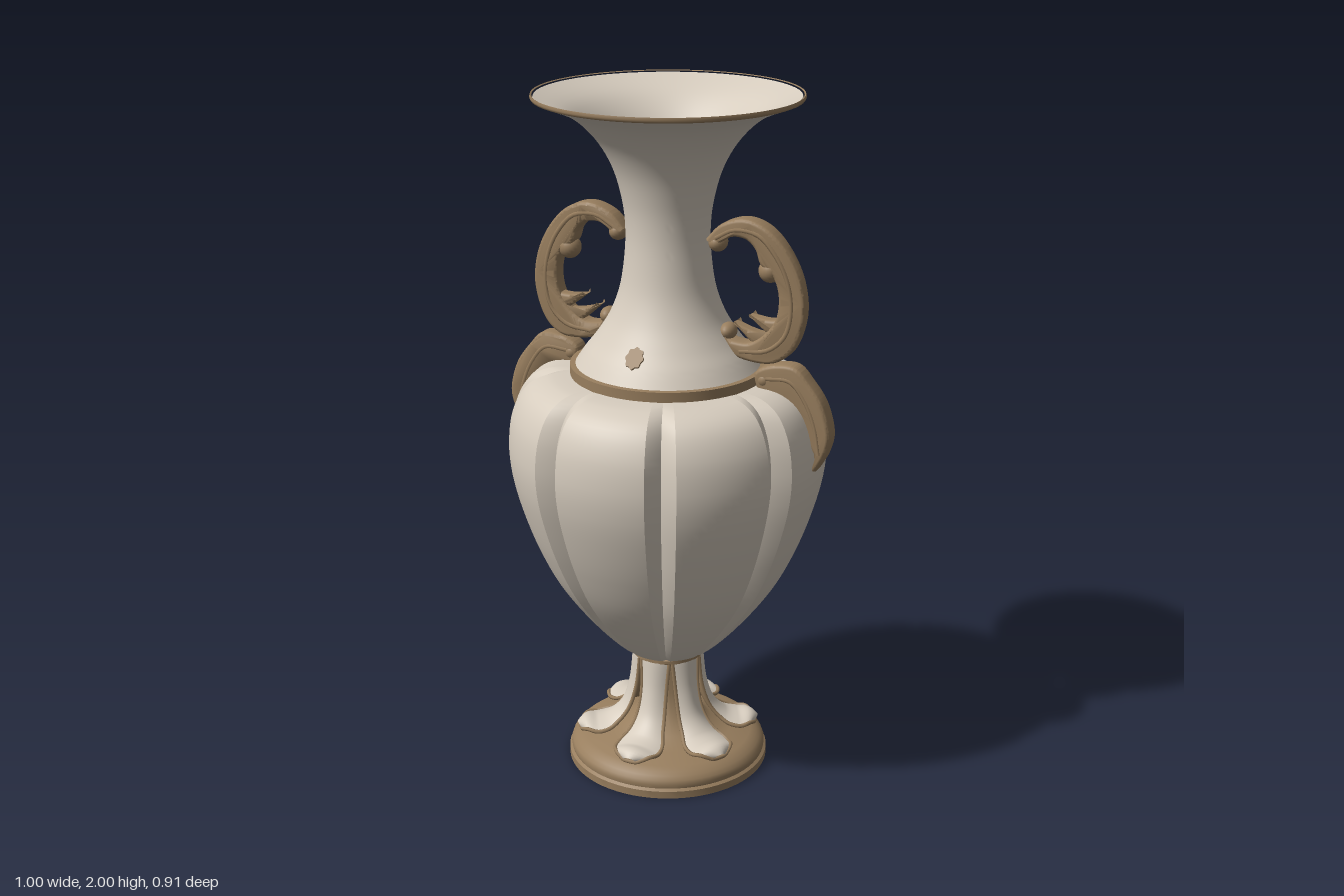
import * as THREE from 'three';
import { toCreasedNormals } from 'three/addons/utils/BufferGeometryUtils.js';
import { ParametricGeometry } from 'three/addons/geometries/ParametricGeometry.js';

const V2 = (p) => new THREE.Vector2(p[0], p[1]);
const spline = (pts) => new THREE.SplineCurve(pts.map(V2));

export function createModel() {
  const model = new THREE.Group();
  const ivory = new THREE.MeshStandardMaterial({ color: 0xd6ccbe, side: THREE.DoubleSide });
  ivory.name = 'ivory';
  const bronze = new THREE.MeshStandardMaterial({ color: 0x987e5e });
  bronze.name = 'bronze';

  const add = (parent, name, geo, mat) => {
    const mesh = new THREE.Mesh(geo, mat);
    mesh.name = name;
    parent.add(mesh);
    return mesh;
  };
  const lathe = (name, pts, mat, crease = 0.6) =>
    add(model, name, toCreasedNormals(new THREE.LatheGeometry(pts.map(V2), 72), crease), mat);

  // Hollow round base rising into the core of the stem
  lathe('base', [
    [0.001, 0.2], [0.04, 0.18], [0.1, 0.125], [0.2, 0.06], [0.255, 0.03], [0.275, 0], [0.298, 0], [0.298, 0.022],
    [0.29, 0.028], [0.292, 0.04], [0.288, 0.052], [0.278, 0.062], [0.268, 0.07], [0.25, 0.079],
    [0.19, 0.09], [0.13, 0.11], [0.09, 0.15], [0.068, 0.22], [0.066, 0.335],
  ], bronze, 0.8);

  // Six flaring petals around the stem: ivory face, bronze back and edge
  const petalPath = spline([[0.262, 0.09], [0.245, 0.104], [0.21, 0.102], [0.165, 0.118],
    [0.122, 0.165], [0.098, 0.24], [0.088, 0.335]]);
  const petalWidth = spline([[0, 0.022], [0.05, 0.05], [0.13, 0.067], [0.22, 0.067], [0.36, 0.051],
    [0.55, 0.042], [0.75, 0.04], [1, 0.045]]);
  const petalPoint = (s, v, target, height) => {
    const p = petalPath.getPoint(v), t = petalPath.getTangent(v);
    const bulge = height * (1 - s * s);
    return target.set(s * petalWidth.getPoint(v).y, p.y - t.x * bulge, p.x + t.y * bulge);
  };
  const petalGeo = new ParametricGeometry((u, v, target) => petalPoint(u * 2 - 1, v, target, 0.018), 10, 32);
  const petalBackGeo = new ParametricGeometry((u, v, target) => petalPoint(1 - u * 2, v, target, -0.014), 10, 32);
  const edgePts = [];
  for (let i = 24; i >= 0; i--) edgePts.push(petalPoint(-1, i / 24, new THREE.Vector3(), 0));
  for (let i = 0; i <= 24; i++) edgePts.push(petalPoint(1, i / 24, new THREE.Vector3(), 0));
  const edgeGeo = new THREE.TubeGeometry(new THREE.CatmullRomCurve3(edgePts), 90, 0.006, 6);
  for (let i = 0; i < 6; i++) {
    const petal = new THREE.Group();
    petal.name = 'stemPetal';
    petal.rotation.y = (i * Math.PI) / 3;
    add(petal, 'petalFace', petalGeo, ivory);
    add(petal, 'petalBack', petalBackGeo, bronze);
    add(petal, 'petalEdge', edgeGeo, bronze);
    model.add(petal);
  }

  lathe('stemCollar', [[0, 0.33], [0.096, 0.33], [0.104, 0.335], [0.104, 0.346], [0.096, 0.352], [0, 0.352]], bronze);

  // Body: eight smooth lobes separated by V grooves
  const bodyProfile = spline([[0.09, 0.348], [0.125, 0.357], [0.185, 0.41], [0.262, 0.5], [0.331, 0.6], [0.384, 0.71],
    [0.423, 0.82], [0.448, 0.92], [0.455, 1.01], [0.442, 1.1], [0.405, 1.17], [0.345, 1.205], [0.26, 1.213]]);
  const strip = (a0, a1, k0, k1, n) => new ParametricGeometry((u, v, target) => {
    const p = bodyProfile.getPoint(v), a = a0 + (a1 - a0) * u, r = p.x * (k0 + (k1 - k0) * u);
    target.set(r * Math.sin(a), p.y, r * Math.cos(a));
  }, n, 48);
  const half = Math.PI / 8, edge = 0.298, deep = 0.915;
  const lobeGeo = strip(-edge, edge, 1, 1, 12);
  const grooveIn = strip(edge, half, 1, deep, 1);
  const grooveOut = strip(-half, -edge, deep, 1, 1);
  for (let i = 0; i < 8; i++) {
    const lobe = new THREE.Group();
    lobe.name = 'bodyLobe';
    lobe.rotation.y = (i * Math.PI) / 4;
    add(lobe, 'lobeFace', lobeGeo, ivory);
    add(lobe, 'grooveSide', grooveIn, ivory);
    add(lobe, 'grooveSide', grooveOut, ivory);
    model.add(lobe);
  }
  const floor = add(model, 'innerFloor', new THREE.CircleGeometry(0.15, 48), ivory);
  floor.rotation.x = -Math.PI / 2;
  floor.position.y = 0.41;

  // Shoulder ring, trumpet neck and rim
  lathe('shoulderRing', [[0.24, 1.207], [0.277, 1.207], [0.277, 1.24], [0.24, 1.242]], bronze);
  const outer = spline([[0.262, 1.24], [0.235, 1.28], [0.2, 1.325], [0.163, 1.385], [0.135, 1.46], [0.121, 1.55],
    [0.118, 1.63], [0.127, 1.71], [0.153, 1.8], [0.2, 1.88], [0.27, 1.945], [0.366, 1.986]]).getPoints(56);
  const inner = outer.map((p) => [p.x - 0.003, p.y + 0.009 * Math.max(0, (p.y - 1.7) / 0.286)]).reverse();
  lathe('neck', [...outer.map((p) => [p.x, p.y]), ...inner], ivory);
  lathe('rim', [[0.362, 1.984], [0.37, 1.987], [0.373, 1.993], [0.371, 2], [0.367, 1.998]], bronze, 0.9);

  // Scalloped rosettes on the front and back of the neck
  const rosetteShape = new THREE.Shape();
  for (let i = 0; i < 64; i++) {
    const a = (i / 64) * Math.PI * 2, r = 0.025 + 0.002 * Math.cos(8 * a);
    rosetteShape[i ? 'lineTo' : 'moveTo'](r * Math.cos(a), 1.25 * r * Math.sin(a));
  }
  const rosetteGeo = new THREE.ExtrudeGeometry(rosetteShape, { depth: 0.006, bevelEnabled: false });
  for (const turn of [0, Math.PI]) {
    const side = new THREE.Group();
    side.name = 'rosette';
    side.rotation.y = turn;
    const flower = add(side, 'rosetteFace', rosetteGeo, bronze);
    flower.position.set(0, 1.308, 0.2115);
    flower.rotation.x = -0.7;
    model.add(side);
  }

  // Carved plate between an outer and an inner curve, thinned by a rule of x
  const plate = (outside, inside, depth, thin = () => 1) => {
    const shape = new THREE.Shape();
    shape.moveTo(...outside[0]);
    shape.splineThru(outside.slice(1).map(V2));
    shape.lineTo(...inside[0]);
    shape.splineThru(inside.slice(1).map(V2));
    const geo = new THREE.ExtrudeGeometry(shape, {
      depth: depth - 0.024, curveSegments: 36, bevelThickness: 0.012, bevelSize: 0.01, bevelOffset: -0.01, bevelSegments: 3,
    });
    geo.translate(0, 0, 0.012 - depth / 2);
    const pos = geo.attributes.position;
    for (let i = 0; i < pos.count; i++) pos.setZ(i, pos.getZ(i) * thin(pos.getX(i)));
    return toCreasedNormals(geo, 0.9);
  };
  const scrollThin = (x) => 1 - 0.3 * THREE.MathUtils.smoothstep(x, 0.3, 0.41);
  const scrollGeo = plate(
    [[0.175, 1.35], [0.19, 1.305], [0.25, 1.283], [0.33, 1.285], [0.385, 1.33], [0.414, 1.42],
      [0.406, 1.51], [0.37, 1.59], [0.31, 1.655], [0.24, 1.68], [0.17, 1.66], [0.125, 1.615]],
    [[0.155, 1.595], [0.195, 1.625], [0.24, 1.625], [0.27, 1.6], [0.286, 1.56], [0.325, 1.525], [0.34, 1.47],
      [0.332, 1.41], [0.3, 1.365], [0.255, 1.335], [0.205, 1.335]], 0.06, scrollThin);
  const leafGeo = plate(
    [[0.285, 1.2], [0.275, 1.25], [0.32, 1.278], [0.39, 1.282], [0.435, 1.24], [0.477, 1.18], [0.499, 1.1], [0.488, 1.04], [0.46, 0.988]],
    [[0.455, 1.04], [0.432, 1.08], [0.41, 1.12], [0.395, 1.155], [0.355, 1.19]], 0.06);
  const fronds = [
    plate([[0.33, 1.31], [0.27, 1.33], [0.205, 1.385]], [[0.25, 1.372], [0.3, 1.365], [0.345, 1.39]], 0.044),
    plate([[0.375, 1.34], [0.31, 1.365], [0.25, 1.41]], [[0.3, 1.405], [0.34, 1.41], [0.375, 1.44]], 0.044),
  ];
  const vein = (pts, z, thin = () => 1) => new THREE.TubeGeometry(
    new THREE.CatmullRomCurve3(pts.map(([x, y]) => new THREE.Vector3(x, y, z * thin(x)))), 36, 0.007, 6);
  const scrollVein = [[0.23, 1.308], [0.31, 1.32], [0.36, 1.365], [0.377, 1.44], [0.365, 1.52], [0.33, 1.59], [0.28, 1.64], [0.21, 1.648], [0.155, 1.62]];
  const leafVein = [[0.31, 1.24], [0.38, 1.24], [0.425, 1.19], [0.455, 1.12], [0.47, 1.04]];
  // Volute bulbs: x, y, radius
  const bulbs = [[0.307, 1.54, 0.033], [0.152, 1.603, 0.026], [0.185, 1.355, 0.024], [0.3, 1.232, 0.028]];

  for (const turn of [0, Math.PI]) {
    const handle = new THREE.Group();
    handle.name = turn ? 'rightHandle' : 'leftHandle';
    handle.rotation.y = turn;
    add(handle, 'scroll', scrollGeo, bronze);
    add(handle, 'leaf', leafGeo, bronze);
    for (const frond of fronds) add(handle, 'frond', frond, bronze);
    for (const z of [-0.026, 0.026]) {
      add(handle, 'scrollVein', vein(scrollVein, z, scrollThin), bronze);
      add(handle, 'leafVein', vein(leafVein, z), bronze);
    }
    for (const [x, y, r] of bulbs) {
      const bulb = add(handle, 'voluteBulb', new THREE.SphereGeometry(r, 20, 14), bronze);
      bulb.scale.z = 0.034 / r;
      bulb.position.set(x, y, 0);
    }
    model.add(handle);
  }
  return model;
}
